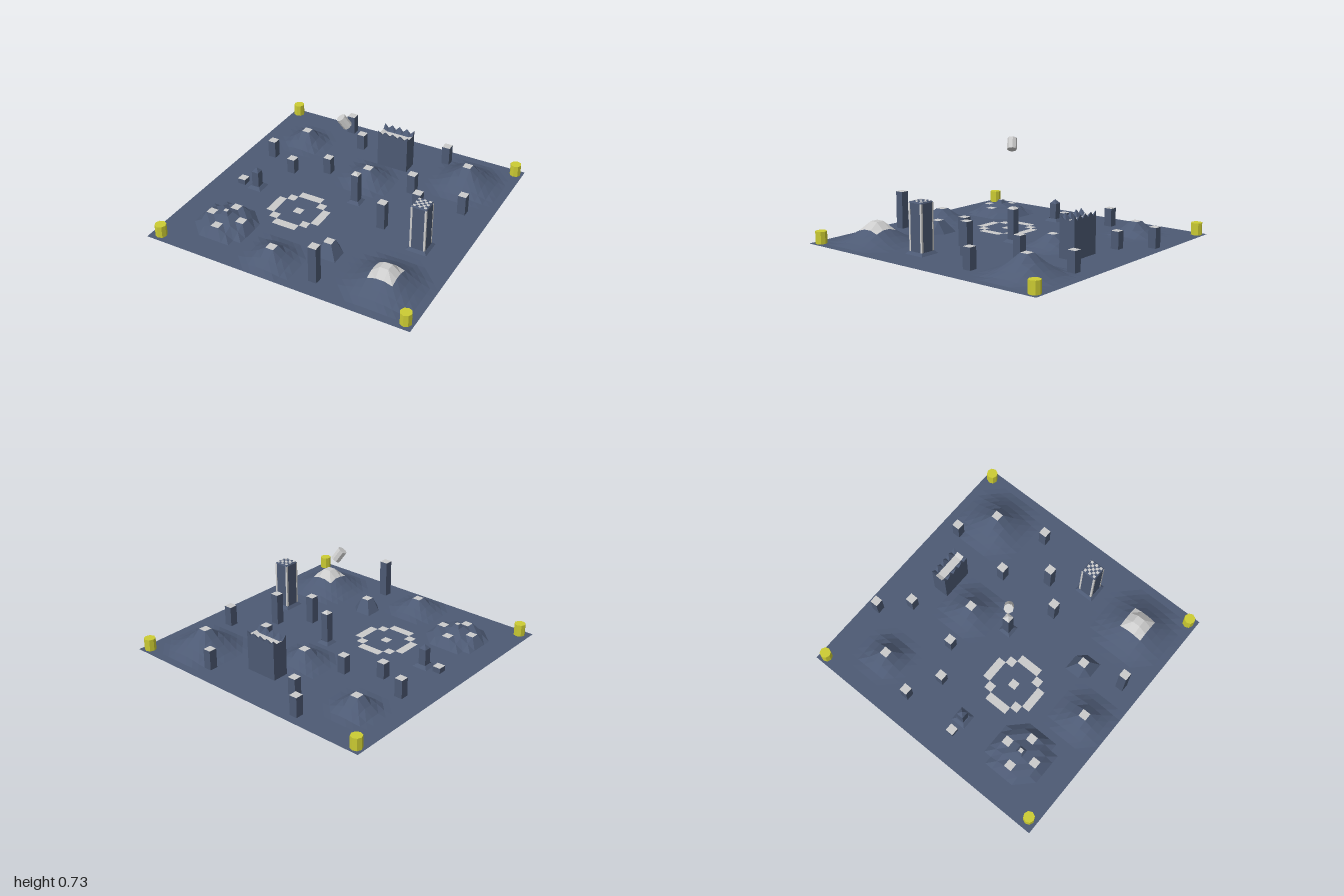
import * as THREE from 'three';

const N = 33, CELL = 2 / N, MID = 16;
const material = (color) => new THREE.MeshStandardMaterial({ color, flatShading: true, side: THREE.DoubleSide });
const BLUE = material(0x4d5a74), GREY = material(0xcccccc), YELLOW = material(0xcccc33);

// Hills: centre cell x, z, height, slope length in cells
const HILLS = [
  [-11, -10, 0.1, 2.5], [11, -11, 0.145, 4], [0, -6, 0.095, 3], [-2, 13, 0.095, 3],
  [3, 9, 0.09, 1], [11, 11, 0.15, 4.3],
];
// Square pillars: cell x, z, height
const PILLARS = [
  [-7, -15, 0.145], [7, -14, 0.145], [-4, -12, 0.125], [-13, -5, 0.135], [-5, -5, 0.13],
  [-9, -3, 0.115], [6, -6, 0.155], [13, -5, 0.15], [9, -1, 0.235], [-13, 2, 0.04],
  [6, 2, 0.205], [4, 14, 0.275],
];
const DOME = [-10, 10];

// Ground height at a grid corner (in cell units, cell centres are whole numbers)
function heightAt(x, z) {
  let h = 0;
  for (const [cx, cz, H, R] of HILLS) {
    const d = Math.hypot(Math.max(Math.abs(x - cx) - 0.5, 0), Math.max(Math.abs(z - cz) - 0.5, 0)) / R;
    if (d < 1) h = Math.max(h, H * (1 - d) ** 1.5);
  }
  const r = Math.hypot(x - DOME[0], z - DOME[1]);
  if (r < 1) h = 0.085;
  else if (r < 2.7) h = 0.062;
  else if (r < 3) h = 0.035;
  return h;
}

function isGreyTile(i, j) {
  const dx = Math.abs(i + 4), dz = Math.abs(j - 4);
  if ((dx === 3 && dz <= 1) || (dz === 3 && dx <= 1) || (dx === 2 && dz === 2) || dx + dz === 0) return true;
  const ex = Math.abs(i - DOME[0]), ez = Math.abs(j - DOME[1]);
  if (ex + ez === 2 && ex * ez === 0) return true;
  if (Math.abs(i - 11) <= 1 && Math.abs(j - 11) <= 1) return true;
  return HILLS.some(([x, z]) => x === i && z === j);
}

const quad = (list, a, b, c, d) => list.push(...a, ...b, ...c, ...a, ...c, ...d);

function soupMesh(list, mat, name) {
  const g = new THREE.BufferGeometry();
  g.setAttribute('position', new THREE.Float32BufferAttribute(list, 3));
  g.computeVertexNormals();
  const m = new THREE.Mesh(g, mat);
  m.name = name;
  return m;
}

// Grid ground with hills, coloured tiles and raised pillar cells
function buildGround() {
  const blue = [], grey = [], walls = [], caps = [];
  for (let i = -MID; i <= MID; i++) for (let j = -MID; j <= MID; j++) {
    if (i >= 0 && i <= 3 && (j === -11 || j === -10)) continue; // open under the castle
    const corners = [[-0.5, -0.5], [-0.5, 0.5], [0.5, 0.5], [0.5, -0.5]].map(([a, b]) =>
      [(i + a) * CELL, heightAt(i + a, j + b), (j + b) * CELL]);
    const pillar = PILLARS.find(([x, z]) => x === i && z === j);
    if (!pillar) {
      quad(isGreyTile(i, j) ? grey : blue, ...corners);
      continue;
    }
    const top = corners.map(([x, , z]) => [x, pillar[2], z]);
    quad(caps, ...top);
    corners.forEach((c, k) => quad(walls, c, corners[(k + 1) % 4], top[(k + 1) % 4], top[k]));
  }
  const g = new THREE.Group();
  g.name = 'landscape';
  g.add(soupMesh(blue, BLUE, 'ground'), soupMesh(grey, GREY, 'paleTiles'),
    soupMesh(walls, BLUE, 'pillarWalls'), soupMesh(caps, GREY, 'pillarTops'));
  return g;
}

// Long keep with a jagged parapet around a sunken roof
function buildCastle() {
  const nx = 8, nz = 4, s = CELL / 2, walls = [], roof = [], parapet = [];
  const p = (i, j) => {
    const edge = i === 0 || j === 0 || i === nx || j === nz;
    const y = !edge ? 0.25 : i % 2 === 0 && j % 4 === 0 ? 0.297 : 0.265;
    return [(i - 1) * s, y, -11.5 * CELL + j * s];
  };
  const tri = (...t) => (t.some((v) => v[1] > 0.28) ? parapet : roof).push(...t.flat());
  for (let i = 0; i < nx; i++) for (let j = 0; j < nz; j++) {
    const a = p(i, j), b = p(i, j + 1), c = p(i + 1, j + 1), d = p(i + 1, j);
    if ((i + j) % 2) { tri(a, b, d); tri(b, c, d); } else { tri(a, b, c); tri(a, c, d); }
  }
  const foot = ([x, , z]) => [x, 0, z];
  const wall = (a, b) => quad(walls, foot(a), foot(b), b, a);
  for (let i = 0; i < nx; i++) { wall(p(i, nz), p(i + 1, nz)); wall(p(i + 1, 0), p(i, 0)); }
  for (let j = 0; j < nz; j++) { wall(p(0, j), p(0, j + 1)); wall(p(nx, j + 1), p(nx, j)); }
  const g = new THREE.Group();
  g.name = 'castle';
  g.add(soupMesh(walls, BLUE, 'castleWalls'), soupMesh(roof, GREY, 'castleRoof'),
    soupMesh(parapet, BLUE, 'castleParapet'));
  return g;
}

// Open square frustum between two heights, given bottom and top widths
function frustum(name, bottom, top, y0, y1, mat = BLUE) {
  const geo = new THREE.CylinderGeometry(top * Math.SQRT1_2, bottom * Math.SQRT1_2, y1 - y0, 4, 1, true);
  geo.rotateY(Math.PI / 4).translate(0, (y0 + y1) / 2, 0);
  const m = new THREE.Mesh(geo, mat);
  m.name = name;
  return m;
}

function place(name, x, z, ...parts) {
  const g = new THREE.Group();
  g.name = name;
  g.position.set(x, 0, z);
  g.add(...parts);
  return g;
}

// Tall tower with pale corner strips and a chequered roof
function buildTower() {
  const tower = place('tallTower', 0.697, 0.205,
    frustum('towerBase', 0.155, 0.12, 0, 0.02),
    frustum('towerShaft', 0.114, 0.114, 0.015, 0.35),
    frustum('towerBevel', 0.114, 0.1, 0.35, 0.36));
  for (const sx of [-1, 1]) for (const sz of [-1, 1]) {
    const strip = new THREE.Mesh(new THREE.BoxGeometry(0.014, 0.33, 0.014), GREY);
    strip.position.set(sx * 0.051, 0.185, sz * 0.051);
    strip.name = 'cornerStrip';
    tower.add(strip);
  }
  const pale = [], dark = [], s = 0.02;
  for (let i = 0; i < 5; i++) for (let j = 0; j < 5; j++) {
    const x = (i - 2.5) * s, z = (j - 2.5) * s;
    quad((i + j) % 2 ? dark : pale, [x, 0.36, z], [x, 0.36, z + s], [x + s, 0.36, z + s], [x + s, 0.36, z]);
  }
  tower.add(soupMesh(pale, GREY, 'paleRoofTiles'), soupMesh(dark, BLUE, 'darkRoofTiles'));
  return tower;
}

export function createModel() {
  const model = new THREE.Group();
  model.name = 'battlefield';
  model.add(buildGround(), buildCastle(), buildTower());

  // Slim tower, small spire and the tip of the dome
  model.add(place('slimTower', 0.06, -0.06,
    frustum('slimTowerBase', 0.1, 0.06, 0, 0.02),
    frustum('slimTowerShaft', 0.056, 0.056, 0.015, 0.235),
    frustum('slimTowerRoof', 0.056, 0.02, 0.235, 0.25, GREY),
    frustum('slimTowerTip', 0.02, 0, 0.25, 0.253, GREY)));
  model.add(place('spire', -0.667, 0.12,
    frustum('spireBase', 0.115, 0.07, 0, 0.02),
    frustum('spireShaft', 0.055, 0.055, 0.015, 0.135),
    frustum('spireRoof', 0.055, 0, 0.135, 0.165)));
  model.add(place('domeTip', DOME[0] * CELL, DOME[1] * CELL,
    frustum('domeTipSides', CELL, 0.03, 0.085, 0.11),
    frustum('domeTipTop', 0.03, 0, 0.11, 0.111, GREY)));

  // Yellow corner drums
  for (const [x, z] of [[-0.945, -0.945], [0.942, -0.945], [-0.925, 0.937], [0.942, 0.937]]) {
    const drum = new THREE.Mesh(new THREE.CylinderGeometry(0.041, 0.041, 0.088, 8), YELLOW);
    drum.position.set(x, 0.045, z);
    drum.name = 'cornerDrum';
    model.add(drum);
  }

  // Tilted drum floating above the middle
  const floater = new THREE.Mesh(new THREE.CylinderGeometry(0.034, 0.034, 0.085, 8), GREY);
  floater.quaternion.setFromUnitVectors(new THREE.Vector3(0, 1, 0), new THREE.Vector3(-0.45, 0.8, 0.32).normalize());
  floater.position.set(-0.003, 0.678, 0);
  floater.name = 'floatingDrum';
  model.add(floater);
  return model;
}
